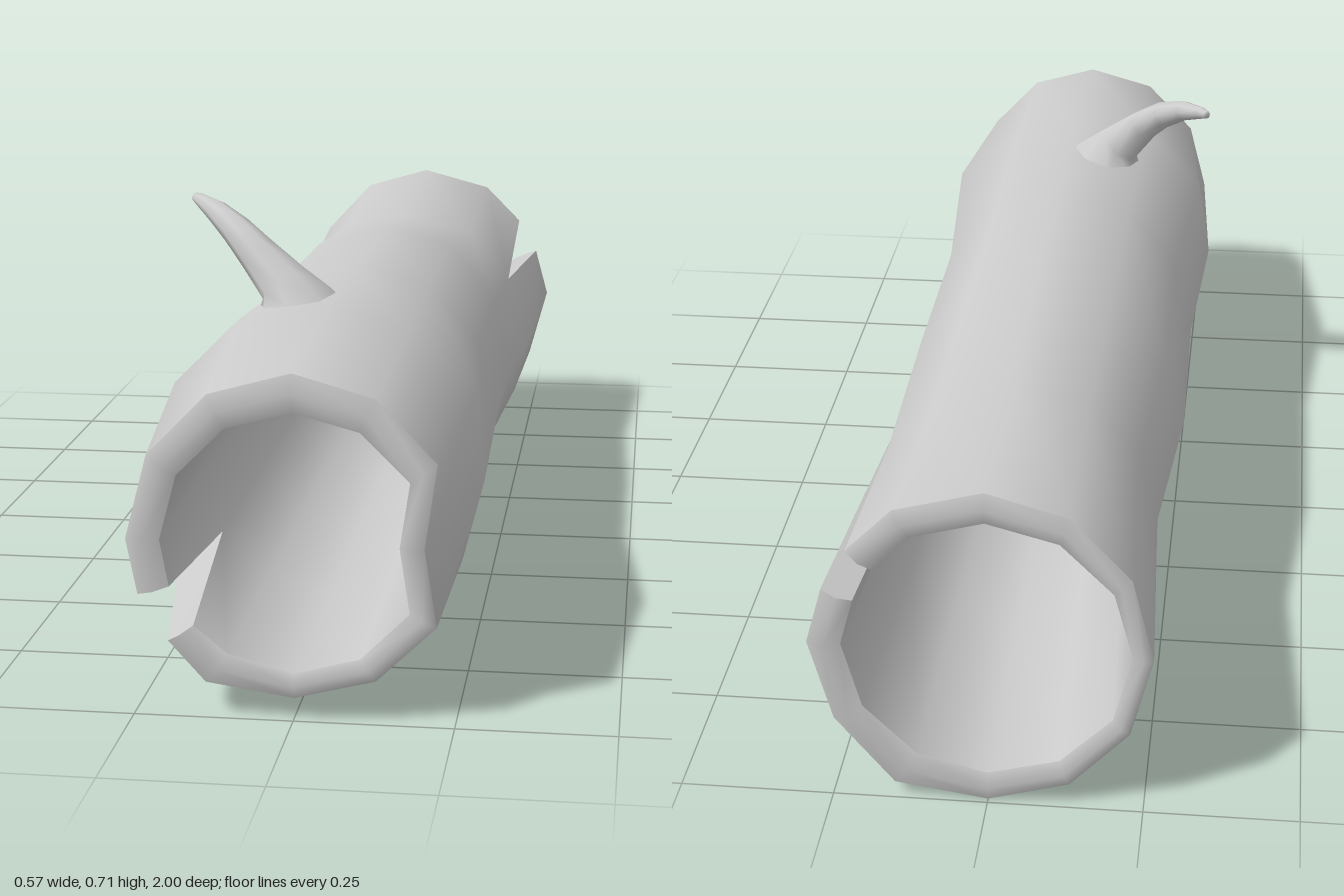
import * as THREE from 'three';
import { mergeVertices } from 'three/addons/utils/BufferGeometryUtils.js';

const CY = 0.287; // height of the log's axis
const SIDES = 12;

// Cross-sections along the log: z, x and y extents, bore radius,
// crack opening in degrees at column 1 or 7, and dents {column: scale}
const RINGS = [
  { z: 1, x: [-0.26, 0.255], y: [0.04, 0.555], bore: 0.207, c7: [-9, 11], dents: { 0: 0.79, 8: 1.06 } },
  { z: 0.6, x: [-0.285, 0.262], y: [0.012, 0.574], bore: 0.212, dents: { 1: 1.1, 4: 1.06, 5: 1.06, 7: 1.04, 8: 1.06 } },
  { z: 0.2, x: [-0.265, 0.252], y: [0.045, 0.572], bore: 0.212, dents: { 10: 1.02 } },
  { z: -0.2, x: [-0.27, 0.252], y: [0.035, 0.572], bore: 0.212, dents: { 2: 1.02 } },
  { z: -0.56, x: [-0.242, 0.275], y: [0.03, 0.535], bore: 0.212, dents: { 1: 0.93, 4: 1.04 } },
  { z: -1, x: [-0.262, 0.284], y: [0.006, 0.57], bore: 0.23, c1: [-9, 8], dents: { 1: 0.97, 10: 1.06 } },
];
const LAST = RINGS.length - 1;

// The cracked columns appear twice, once for each lip
const COLUMNS = [];
for (let i = 0; i < SIDES; i++) {
  if (i === 1 || i === 7) COLUMNS.push({ i, lip: 0 }, { i, lip: 1 });
  else COLUMNS.push({ i });
}

// A row follows one ring at a depth from 0 (bark) to 1 (bore);
// at the two ends the rim is rounded over
function makeRow(index, depth) {
  const ring = RINGS[index];
  const atEnd = index === 0 || index === LAST;
  const round = atEnd ? 1 - 0.01 * (2 * depth - 1) ** 2 : 1;
  return { ring, depth, z: ring.z * round };
}

function rowPoint({ ring, depth, z }, col) {
  const crack = ring['c' + col.i];
  const a = THREE.MathUtils.degToRad(col.i * 30 + (crack ? crack[col.lip] : 0));
  const c = Math.cos(a), s = Math.sin(a);
  const dent = ring.dents[col.i] || 1;
  const rx = (c > 0 ? ring.x[1] : -ring.x[0]) * dent;
  const ry = (s > 0 ? ring.y[1] - CY : CY - ring.y[0]) * dent;
  const bore = ring.bore * Math.min(1, dent);
  const { lerp } = THREE.MathUtils;
  return new THREE.Vector3(c * lerp(rx, bore, depth), CY + s * lerp(ry, bore, depth), z);
}

// Triangles to a smooth-shaded geometry with shared corners
function smoothGeometry(points) {
  const raw = new THREE.BufferGeometry().setFromPoints(points);
  const geo = mergeVertices(raw, 1e-5);
  geo.computeVertexNormals();
  return geo;
}

function quad(out, a, b, c, d) {
  out.push(a, b, c, a, c, d);
}

// Skin over successive rows, left open between the lips of a crack
function skin(rows) {
  const out = [];
  COLUMNS.forEach((col, j) => {
    const next = COLUMNS[(j + 1) % COLUMNS.length];
    if (col.i === next.i) return;
    for (let k = 0; k < rows.length - 1; k++) {
      const [a, b] = [rows[k], rows[k + 1]];
      quad(out, rowPoint(a, col), rowPoint(b, col), rowPoint(b, next), rowPoint(a, next));
    }
  });
  return smoothGeometry(out);
}

// Broken face on one lip of a crack, fanned from its tip to the log's end
function lipGeometry(end, tip, column, lip) {
  const at = (index, depth) => rowPoint(makeRow(index, depth), { i: column, lip });
  const corners = [at(tip, 0), at(tip, 1), at(end, 1), at(end, 0.5), at(end, 0)];
  if ((lip === 0) === (end !== 0)) corners.reverse();
  const out = [];
  for (let i = 1; i < corners.length - 1; i++) out.push(corners[0], corners[i], corners[i + 1]);
  return smoothGeometry(out);
}

// Curved tapering twig: centre, radius across x, radius across z
function twigGeometry() {
  const path = [
    [-0.075, 0.525, 0.46, 0.095, 0.085],
    [-0.08, 0.552, 0.46, 0.07, 0.064],
    [-0.1, 0.585, 0.454, 0.045, 0.04],
    [-0.148, 0.632, 0.435, 0.034, 0.03],
    [-0.19, 0.668, 0.405, 0.027, 0.026],
    [-0.232, 0.693, 0.365, 0.02, 0.02],
    [-0.268, 0.705, 0.322, 0.012, 0.012],
    [-0.28, 0.707, 0.306, 0.008, 0.008],
  ];
  const n = 8;
  const up = new THREE.Vector3(0, 1, 0);
  const centre = (p) => new THREE.Vector3(p[0], p[1], p[2]);
  const rings = path.map((p, i) => {
    const before = centre(path[Math.max(i - 1, 0)]);
    const after = centre(path[Math.min(i + 1, path.length - 1)]);
    const turn = new THREE.Quaternion().setFromUnitVectors(up, after.sub(before).normalize());
    return Array.from({ length: n }, (_, j) => {
      const a = (j / n) * Math.PI * 2;
      return new THREE.Vector3(Math.cos(a) * p[3], 0, Math.sin(a) * p[4])
        .applyQuaternion(turn).add(centre(p));
    });
  });
  const out = [];
  const tip = centre(path[path.length - 1]);
  for (let j = 0; j < n; j++) {
    const k = (j + 1) % n;
    for (let i = 0; i < rings.length - 1; i++) {
      quad(out, rings[i][j], rings[i + 1][j], rings[i + 1][k], rings[i][k]);
    }
    const end = rings[rings.length - 1];
    out.push(end[j], tip, end[k]);
  }
  return smoothGeometry(out);
}

export function createModel() {
  const group = new THREE.Group();
  group.name = 'hollowLog';
  const wood = new THREE.MeshStandardMaterial({ color: 0xcccccc, side: THREE.DoubleSide });
  const add = (name, geometry) => {
    const mesh = new THREE.Mesh(geometry, wood);
    mesh.name = name;
    group.add(mesh);
  };

  // Trunk wall
  add('bark', skin(RINGS.map((_, i) => makeRow(i, 0))));
  add('bore', skin(RINGS.map((_, i) => makeRow(LAST - i, 1))));
  add('frontRim', skin([1, 0.5, 0].map((depth) => makeRow(0, depth))));
  add('backRim', skin([0, 0.5, 1].map((depth) => makeRow(LAST, depth))));

  // Crack faces
  for (const lip of [0, 1]) {
    add('frontCrackFace', lipGeometry(0, 1, 7, lip));
    add('backCrackFace', lipGeometry(LAST, LAST - 1, 1, lip));
  }

  add('twig', twigGeometry());
  return group;
}
